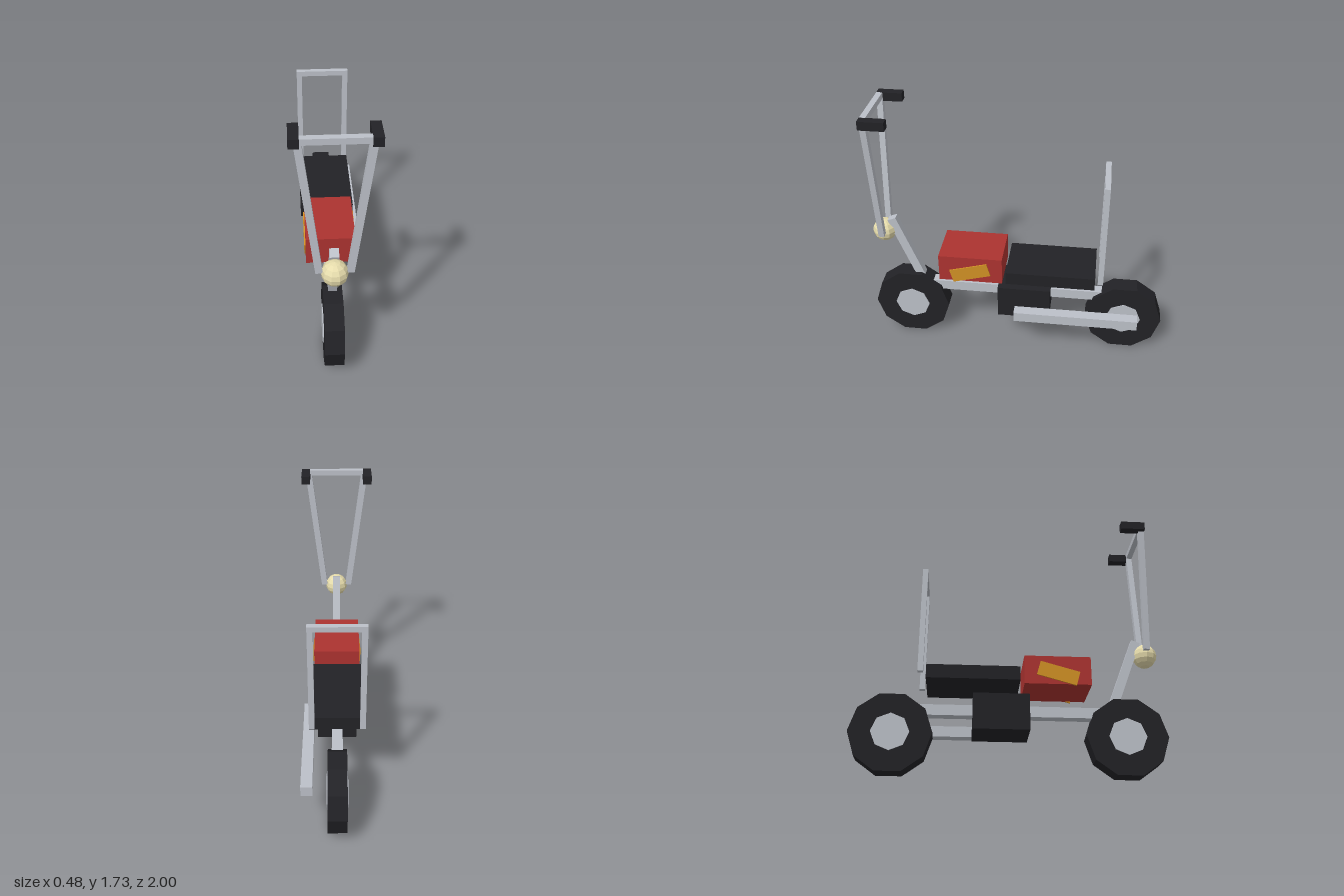
import * as THREE from 'three';

const paint = (color) => new THREE.MeshStandardMaterial({ color, flatShading: true });

export function createModel() {
  const model = new THREE.Group();
  model.name = 'motorbike';

  const metal = paint(0xbcc0c8);
  const black = paint(0x222226);
  const red = paint(0xac3330);
  const orange = paint(0xd09024);
  const lamp = paint(0xe6dcac);

  const add = (name, geometry, material, x, y, z) => {
    const mesh = new THREE.Mesh(geometry, material);
    mesh.name = name;
    mesh.position.set(x, y, z);
    model.add(mesh);
    return mesh;
  };
  const box = (name, material, w, h, d, x, y, z) =>
    add(name, new THREE.BoxGeometry(w, h, d), material, x, y, z);

  // Square bar running between two points
  const bar = (name, material, w, d, from, to) => {
    const a = new THREE.Vector3(...from), b = new THREE.Vector3(...to);
    const axis = b.clone().sub(a);
    const mid = a.clone().add(b).multiplyScalar(0.5);
    const mesh = box(name, material, w, axis.length(), d, mid.x, mid.y, mid.z);
    mesh.quaternion.setFromUnitVectors(new THREE.Vector3(0, 1, 0), axis.normalize());
    return mesh;
  };

  // Wheels: ten-sided tyre with an eight-sided hub
  for (const [end, z] of [['front', 0.74], ['rear', -0.74]]) {
    const tyre = new THREE.CylinderGeometry(0.26, 0.26, 0.12, 10).rotateZ(Math.PI / 2);
    const hub = new THREE.CylinderGeometry(0.12, 0.12, 0.132, 8).rotateZ(Math.PI / 2);
    add(end + 'Tyre', tyre, black, 0, 0.2475, z);
    add(end + 'Hub', hub, metal, 0, 0.2475, z);
  }

  // Frame, engine and exhaust
  box('frameRail', metal, 0.07, 0.07, 1.3, 0, 0.405, 0);
  box('engine', black, 0.26, 0.235, 0.355, 0, 0.372, -0.058);
  box('exhaust', metal, 0.073, 0.07, 0.83, 0.189, 0.325, -0.415);

  // Tank and seat
  box('tank', red, 0.31, 0.19, 0.425, 0, 0.645, 0.297);
  box('seat', black, 0.35, 0.09, 0.59, 0, 0.61, -0.237);

  // Fork and headlight
  bar('fork', metal, 0.055, 0.06, [0, 0.42, 0.65], [0, 0.922, 0.842]);
  add('headlight', new THREE.SphereGeometry(0.08, 10, 8), lamp, 0, 0.825, 0.9);

  // Paired parts: tank stripes, handlebar uprights, grips and backrest posts
  for (const [side, s] of [['left', 1], ['right', -1]]) {
    box(side + 'Stripe', orange, 0.012, 0.095, 0.26, s * 0.157, 0.622, 0.3).rotation.x = 0.27;
    bar(side + 'HandlebarUpright', metal, 0.042, 0.038, [s * 0.09, 0.835, 0.895], [s * 0.196, 1.715, 0.895]);
    box(side + 'Grip', black, 0.058, 0.056, 0.162, s * 0.213, 1.705, 0.834);
    box(side + 'BackrestPost', metal, 0.035, 0.73, 0.035, s * 0.157, 0.975, -0.568);
  }
  box('handlebarCrossbar', metal, 0.37, 0.037, 0.038, 0, 1.715, 0.895);
  box('backrestCrossbar', metal, 0.35, 0.035, 0.035, 0, 1.323, -0.568);

  return model;
}
